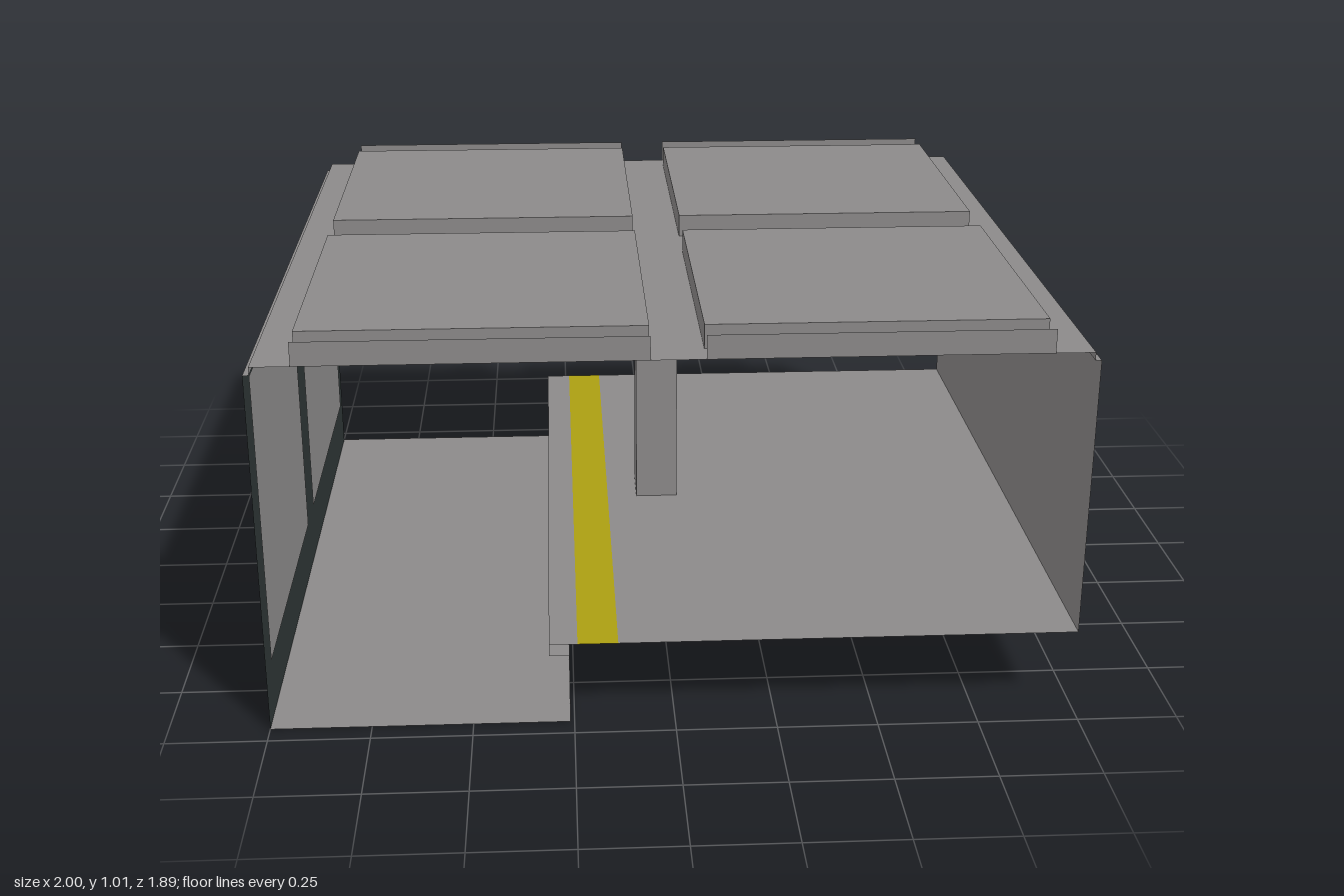
import * as THREE from 'three';

const L = 0.945; // half length along z

export function createModel() {
  const group = new THREE.Group();
  const mat = (name, color) => new THREE.MeshStandardMaterial({ name, color, side: THREE.DoubleSide });
  const concrete = mat('concrete grey', 0x8c8a8a);
  const yellow = mat('safety yellow', 0xac9f12);
  const dark = mat('dark frame', 0x2d3535);

  const add = (name, geometry, material = concrete) => {
    const mesh = new THREE.Mesh(geometry, material);
    mesh.name = name;
    group.add(mesh);
    return mesh;
  };
  // horizontal sheet facing up
  const level = (name, x0, x1, z0, z1, y, material) =>
    add(name, new THREE.PlaneGeometry(x1 - x0, z1 - z0).rotateX(-Math.PI / 2)
      .translate((x0 + x1) / 2, y, (z0 + z1) / 2), material);
  // vertical sheet across x, running along z (side = facing direction)
  const upright = (name, x, y0, y1, z0, z1, side, material) =>
    add(name, new THREE.PlaneGeometry(z1 - z0, y1 - y0).rotateY(side * Math.PI / 2)
      .translate(x, (y0 + y1) / 2, (z0 + z1) / 2), material);
  // vertical sheet facing front or back
  const facing = (name, x0, x1, y0, y1, z) =>
    add(name, new THREE.PlaneGeometry(x1 - x0, y1 - y0)
      .translate((x0 + x1) / 2, (y0 + y1) / 2, z));
  const box = (name, w, h, d, y) => add(name, new THREE.BoxGeometry(w, h, d).translate(0, y, 0));

  // platform with its overhanging lip and safety stripe
  const floorY = 0.215, lipY = 0.185;
  level('platformEdge', -0.31, -0.24, -L, L, floorY);
  level('safetyStripe', -0.24, -0.14, -L, L, floorY, yellow);
  level('platformFloor', -0.14, 1, -L, L, floorY);
  upright('platformLip', -0.31, lipY, floorY, -L, L, -1);
  level('lipUnderside', -0.31, -0.26, -L, L, lipY);

  // track trench
  upright('trenchSide', -0.26, 0, lipY, -L, L, -1);
  level('trenchFloor', -1, -0.26, -L, L, 0);

  // side walls; the track wall carries two large panels on both faces
  upright('platformWall', 1, floorY, 0.93, -L, L, 1);
  upright('trackWall', -1, 0, 0.93, -L, L, -1, dark);
  for (const [z0, z1] of [[-0.87, -0.065], [0.065, 0.87]]) {
    upright('outerWallPanel', -1.003, 0.28, 0.9, z0, z1, -1);
    upright('innerWallPanel', -0.997, 0.15, 0.9, z0, z1, 1);
  }

  // roof sheet with four coffer openings
  const roofY = 0.95, topY = 1.01;
  const xs = [[-0.89, -0.06], [0.07, 0.89]];
  const zs = [[-0.87, -0.072], [0.072, 0.87]];
  const rect = (path, x0, x1, y0, y1) =>
    path.moveTo(x0, y0).lineTo(x1, y0).lineTo(x1, y1).lineTo(x0, y1).closePath();
  const roof = rect(new THREE.Shape(), -0.985, 0.985, -L, L);
  for (const [x0, x1] of xs) for (const [z0, z1] of zs)
    roof.holes.push(rect(new THREE.Path(), x0, x1, -z1, -z0));
  add('roof', new THREE.ShapeGeometry(roof).rotateX(-Math.PI / 2).translate(0, roofY, 0));

  // raised coffers, open below
  for (const [x0, x1] of xs) {
    for (const [z0, z1] of zs) {
      level('cofferTop', x0, x1, z0, z1, topY);
      upright('cofferSide', x0, roofY, topY, z0, z1, -1);
      upright('cofferSide', x1, roofY, topY, z0, z1, 1);
      facing('cofferEnd', x0, x1, roofY, topY, z0).geometry.rotateY(0);
      facing('cofferEnd', x0, x1, roofY, topY, z1);
    }
    // upstands along the front and back roof edges
    for (const s of [-1, 1]) facing('roofUpstand', x0, x1, roofY, topY, s * L);
  }

  // small stepped eaves where the roof meets the walls
  for (const s of [-1, 1]) {
    level('eaveLedge', s < 0 ? -1 : 0.985, s < 0 ? -0.985 : 1, -L, L, 0.93);
    upright('eaveRiser', s * 0.985, 0.93, roofY, -L, L, s);
  }

  // central column and its cap
  box('column', 0.115, roofY - floorY, 0.115, (roofY + floorY) / 2);
  box('columnCap', 0.13, 0.02, 0.13, 0.94);

  return group;
}
